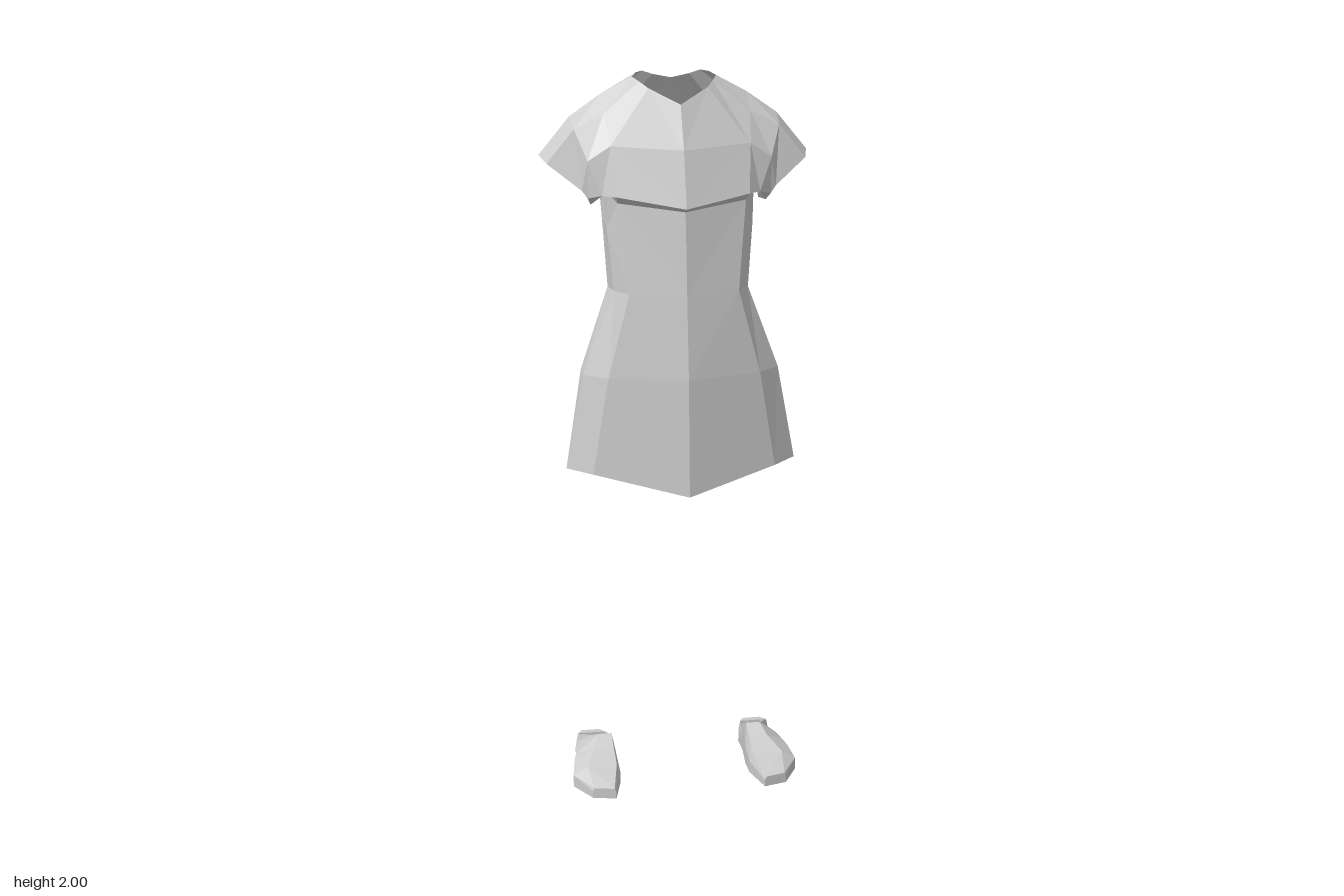
import * as THREE from 'three';

// Triangle collector: each face is added on both the left and the mirrored right side
class Shell {
  constructor() { this.pos = []; }
  tri(a, b, c) {
    const flip = (p) => [-p[0], p[1], p[2]];
    this.pos.push(...a, ...b, ...c, ...flip(a), ...flip(c), ...flip(b));
  }
  quad(a, b, c, d) { this.tri(a, b, c); this.tri(a, c, d); }
  strip(low, high, closed = false, skip = -1) {
    const n = low.length;
    for (let i = 0; i < (closed ? n : n - 1); i++) {
      if (i === skip) continue;
      const j = (i + 1) % n;
      this.quad(low[i], low[j], high[j], high[i]);
    }
  }
  fan(ring) {
    for (let i = 1; i < ring.length - 1; i++) this.tri(ring[0], ring[i], ring[i + 1]);
  }
  mesh(name, material) {
    const g = new THREE.BufferGeometry();
    g.setAttribute('position', new THREE.Float32BufferAttribute(this.pos, 3));
    g.computeVertexNormals();
    const m = new THREE.Mesh(g, material);
    m.name = name;
    return m;
  }
}

export function createModel() {
  const model = new THREE.Group();
  model.name = 'dressAndShoes';
  const grey = new THREE.MeshStandardMaterial({ color: 0xcccccc, flatShading: true, side: THREE.DoubleSide });
  grey.name = 'lightGrey';

  // Half rings from centre front, around the side, to centre back
  const hem = [[0, .875, .175], [.255, .93, .095], [.322, .935, .04], [.31, .935, -.02], [.285, .955, -.115], [.16, .86, -.19], [0, .85, -.19]];
  const hip = [[0, 1.2, .158], [.21, 1.2, .095], [.272, 1.2, .04], [.27, 1.2, -.025], [.24, 1.22, -.1], [.12, 1.25, -.19], [0, 1.25, -.178]];
  const waist = [[0, 1.43, .13], [.15, 1.43, .09], [.185, 1.43, .04], [.193, 1.43, -.025], [.17, 1.43, -.085], [.09, 1.43, -.125], [0, 1.43, -.12]];
  const ribs = [[0, 1.65, .105], [.175, 1.67, .05], [.2, 1.6, .02], [.205, 1.62, -.03], [.195, 1.62, -.12], [.1, 1.6, -.172], [0, 1.6, -.165]];
  const chest = [[0, 1.66, .122], [.18, 1.69, .075], [.2, 1.7, .03], [.205, 1.745, -.06], [.2, 1.73, -.15], [.1, 1.74, -.205], [0, 1.72, -.197]];
  const yoke = [[0, 1.81, .08], [.19, 1.82, .035], [.2, 1.9, -.02], [.2, 1.945, -.08], [.2, 1.91, -.145], [.19, 1.83, -.175], [.1, 1.88, -.2], [0, 1.87, -.19]];
  const neck = [[0, 1.925, .03], [.08, 1.965, -.01], [.1, 1.98, -.04], [.115, 1.99, -.07], [.1, 1.998, -.1], [.08, 2, -.12], [.05, 1.99, -.125], [0, 1.98, -.125]];

  // Skirt
  const skirt = new Shell();
  skirt.strip(hem, hip);
  skirt.strip(hip, waist);
  model.add(skirt.mesh('skirt', grey));

  // Bodice, with armholes left open between chest and yoke
  const bodice = new Shell();
  bodice.strip(waist, ribs);
  bodice.strip(ribs, chest);
  bodice.strip(chest.slice(0, 2), yoke.slice(0, 2));
  bodice.strip(chest.slice(4), yoke.slice(5));
  bodice.strip(yoke, neck);
  model.add(bodice.mesh('bodice', grey));

  // Short sleeves: loops over the shoulder and back under the arm
  const armhole = [...yoke.slice(1, 6), chest[4], chest[3], chest[2], chest[1]];
  const sleeveMid = [[.25, 1.78, .025], [.28, 1.86, -.02], [.285, 1.887, -.08], [.28, 1.855, -.145], [.25, 1.78, -.165], [.225, 1.71, -.15], [.225, 1.7, -.07], [.22, 1.69, 0], [.215, 1.69, .045]];
  const cuff = [[.265, 1.7, .015], [.355, 1.77, -.02], [.37, 1.785, -.08], [.345, 1.78, -.14], [.27, 1.71, -.16], [.245, 1.68, -.15], [.235, 1.655, -.07], [.24, 1.66, 0], [.25, 1.68, .02]];
  const sleeves = new Shell();
  sleeves.strip(cuff, sleeveMid, true);
  sleeves.strip(sleeveMid, armhole, true);
  model.add(sleeves.mesh('sleeves', grey));

  // Shoes: z, sole inner x, sole outer x, side height, top inner x, top outer x, top height
  const sections = [
    [.198, .215, .28, .02, .22, .275, .03],
    [.11, .19, .325, .035, .2, .285, .06],
    [.05, .19, .315, .05, .2, .255, .085],
    [.01, .195, .305, .055, .2, .24, .11],
    [-.04, .2, .3, .05, .2, .255, .085],
    [-.1, .2, .29, .04, .205, .285, .065],
    [-.13, .215, .275, .03, .22, .27, .06],
  ];
  const rings = sections.map(([z, xi, xo, side, ti, to, top], k) => {
    const slant = k === 0 ? .25 : 0; // toe edge runs slightly backwards on the outside
    return [[xi, 0], [xo, 0], [xo, side], [to, top], [ti, top], [xi, side]]
      .map(([x, y]) => [x, y, z - slant * (x - .245)]);
  });
  const shoes = new Shell();
  for (let k = 0; k < rings.length - 1; k++) {
    const open = k === 3 || k === 4; // foot opening
    shoes.strip(rings[k + 1], rings[k], true, open ? 3 : -1);
  }
  shoes.fan(rings[0]);
  shoes.fan([...rings[rings.length - 1]].reverse());
  model.add(shoes.mesh('shoes', grey));

  return model;
}
